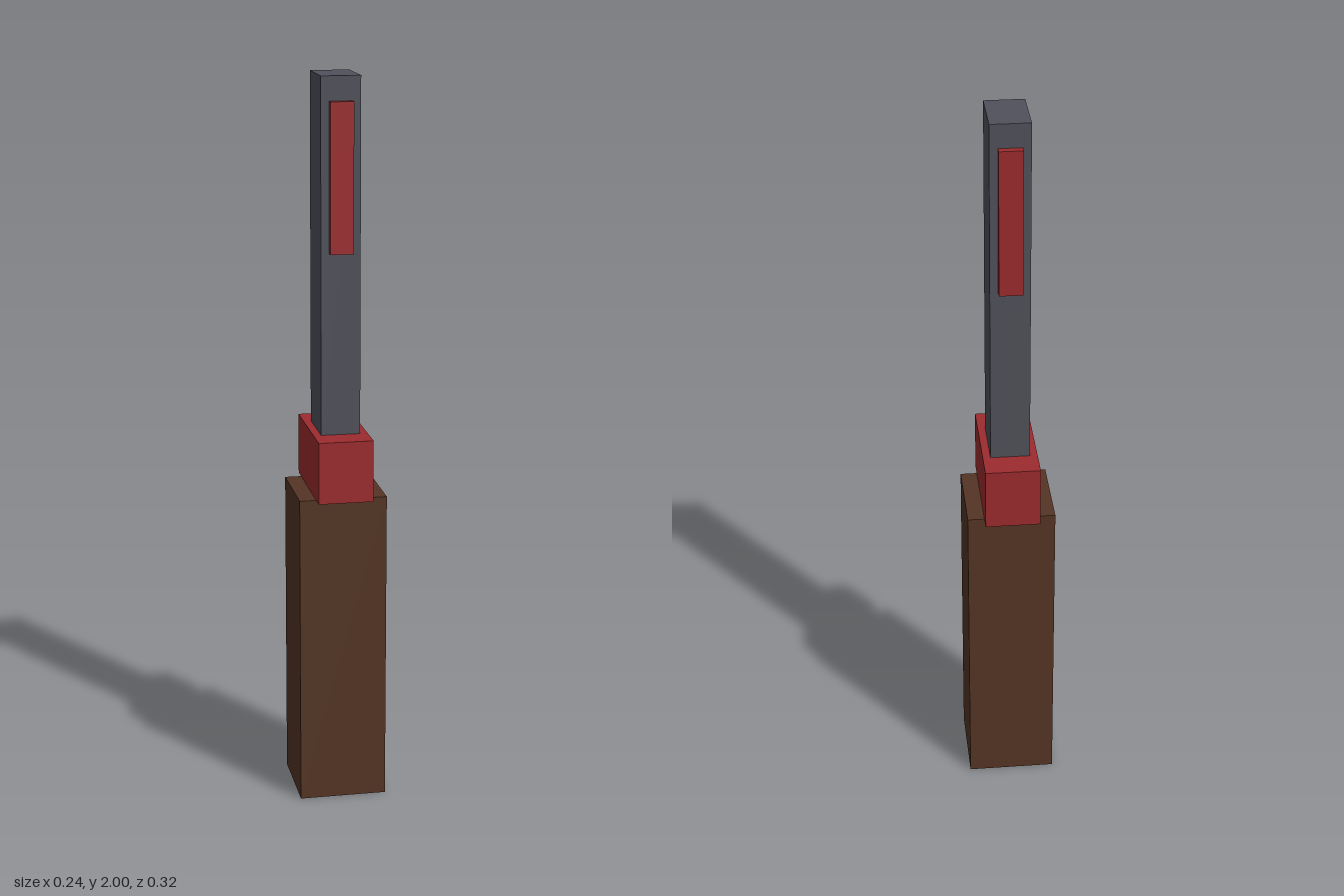
import * as THREE from 'three';

const material = (name, color) => {
  const m = new THREE.MeshStandardMaterial({ color });
  m.name = name;
  return m;
};

export function createModel() {
  const brown = material('brown grip', 0x543524);
  const red = material('red trim', 0x9c2b2e);
  const grey = material('dark grey metal', 0x50515a);

  const model = new THREE.Group();
  model.name = 'shortBlade';

  // Box spanning y0..y1, centred on x = 0 and the given z
  const addBox = (name, mat, width, y0, y1, depth, z = 0) => {
    const mesh = new THREE.Mesh(new THREE.BoxGeometry(width, y1 - y0, depth), mat);
    mesh.name = name;
    mesh.position.set(0, (y0 + y1) / 2, z);
    model.add(mesh);
  };

  // Handle, guard and blade stacked end to end
  addBox('handle', brown, 0.24, 0, 0.87, 0.24);
  addBox('guard', red, 0.149, 0.87, 1.04, 0.32);
  addBox('blade', grey, 0.107, 1.04, 2, 0.16);

  // Raised edge strips on the front and back of the blade
  for (const side of [1, -1]) {
    addBox(side > 0 ? 'frontStrip' : 'backStrip', red, 0.063, 1.535, 1.935, 0.02, side * 0.09);
  }

  return model;
}
